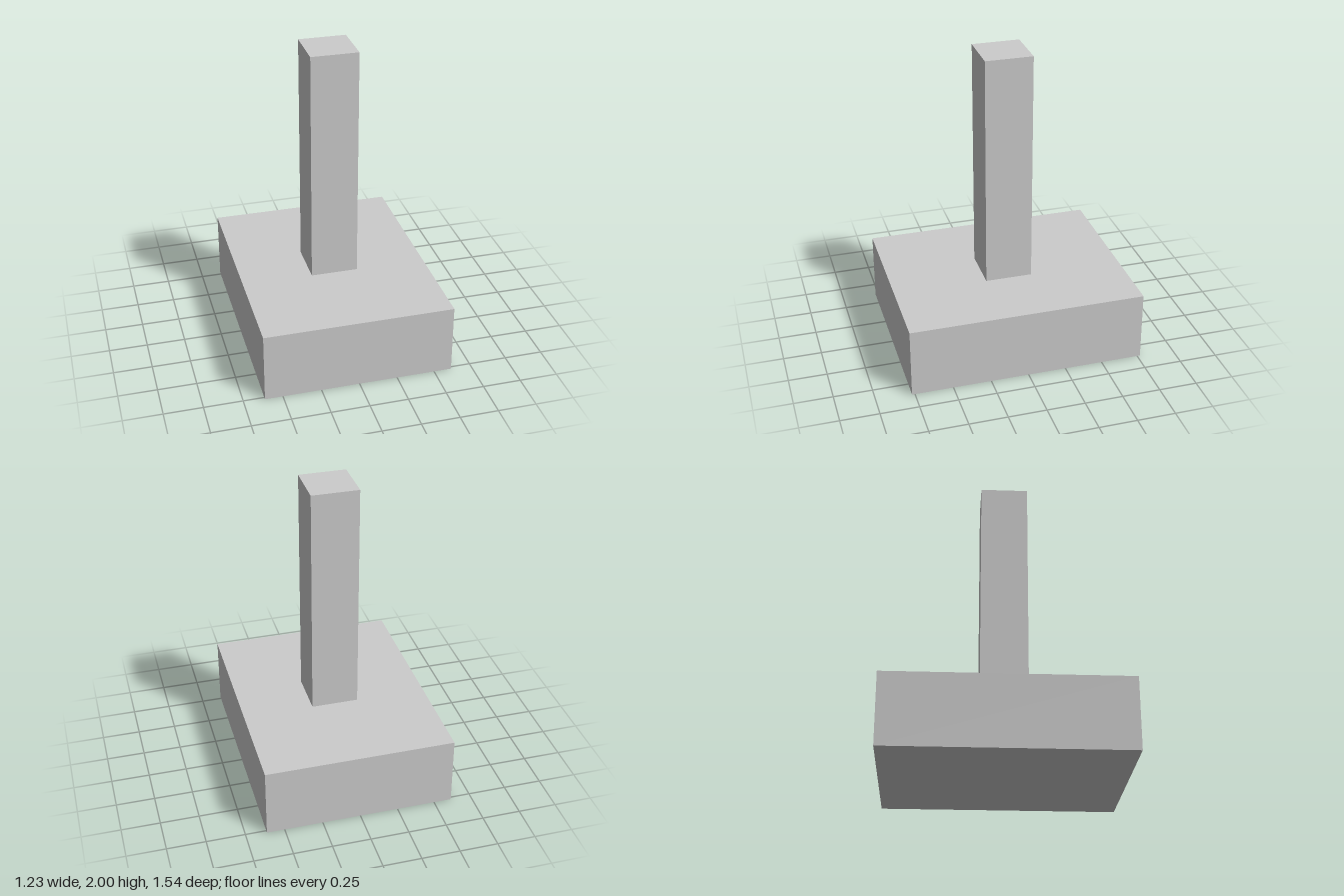
import * as THREE from 'three';

// The proportions follow a grid of 13 units in height
const U = 2 / 13;

export function createModel() {
  const group = new THREE.Group();
  group.name = 'columnFooting';
  const material = new THREE.MeshStandardMaterial({ color: 0xcccccc, flatShading: true });

  // Box of w x h x d units standing at height y
  const addBlock = (name, w, h, d, y) => {
    const mesh = new THREE.Mesh(new THREE.BoxGeometry(w * U, h * U, d * U), material);
    mesh.name = name;
    mesh.position.y = (y + h / 2) * U;
    group.add(mesh);
  };

  addBlock('base', 8, 3, 10, 0);
  addBlock('column', 2, 10, 2, 3);

  return group;
}
